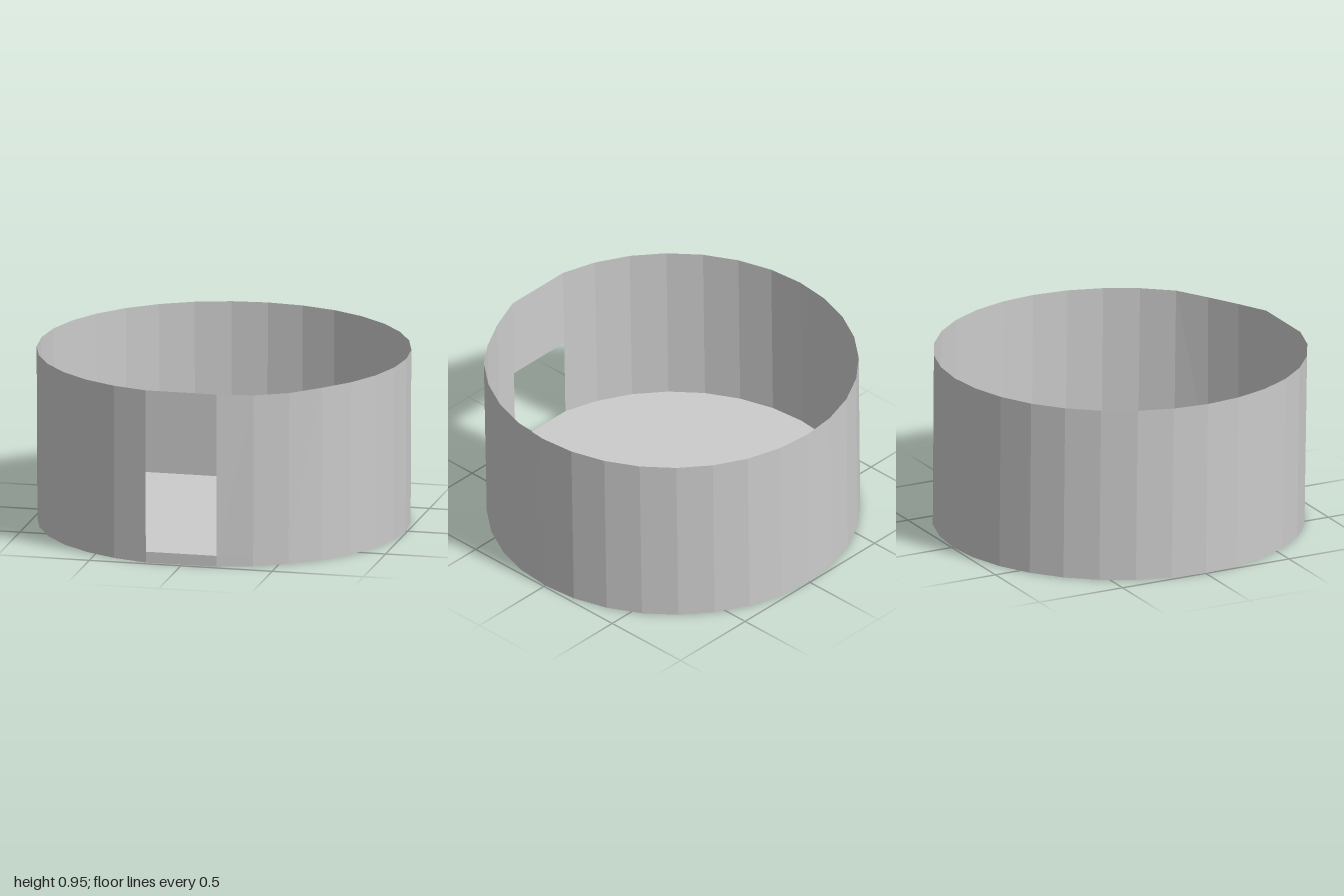
import * as THREE from 'three';

const SIDES = 32, HEIGHT = 0.95, FLOOR = 0.06, DOOR = 0.5;

// Outline angles: the corner at dead front is left out, making one wide flat facet
const ANGLES = [];
for (let i = 1; i < SIDES; i++) ANGLES.push((i * Math.PI * 2) / SIDES);

// Outline corner at a given height; the wall leans very slightly forward
function corner(i, y) {
  const k = i % ANGLES.length, a = ANGLES[k], t = y / HEIGHT;
  const r = 0.993 + 0.004 * t;
  const sag = y === HEIGHT && (k === 1 || k === 2) ? 0.01 : 0; // small dip in the rim
  return [r * Math.sin(a) - 0.003 * (1 - t), y - sag, r * Math.cos(a) + 0.002 + 0.013 * t - sag];
}

// Two outward-facing triangles between corners i and i + 1
function panel(out, i, y0, y1) {
  const a = corner(i, y0), b = corner(i + 1, y0), c = corner(i + 1, y1), d = corner(i, y1);
  out.push(...a, ...b, ...c, ...a, ...c, ...d);
}

// Flat disc over the outline
function disc(out, y, up) {
  for (let i = 0; i < ANGLES.length; i++) {
    const a = corner(i, y), b = corner(i + 1, y), mid = [0, y, 0];
    out.push(...mid, ...(up ? a : b), ...(up ? b : a));
  }
}

function makeMesh(name, positions) {
  const geometry = new THREE.BufferGeometry();
  geometry.setAttribute('position', new THREE.Float32BufferAttribute(positions, 3));
  geometry.computeVertexNormals();
  const material = new THREE.MeshStandardMaterial({
    color: 0xcccccc, flatShading: true, side: THREE.DoubleSide,
  });
  const mesh = new THREE.Mesh(geometry, material);
  mesh.name = name;
  return mesh;
}

export function createModel() {
  const group = new THREE.Group();
  group.name = 'roundEnclosure';

  // Thin wall, with a doorway filling the lower part of the front facet
  const wall = [];
  const front = ANGLES.length - 1;
  for (let i = 0; i < ANGLES.length; i++) panel(wall, i, i === front ? DOOR : FLOOR, HEIGHT);
  group.add(makeMesh('wall', wall));

  // Floor slab
  const slab = [];
  for (let i = 0; i < ANGLES.length; i++) panel(slab, i, 0, FLOOR);
  disc(slab, 0, false);
  disc(slab, FLOOR, true);
  group.add(makeMesh('floor', slab));

  return group;
}
